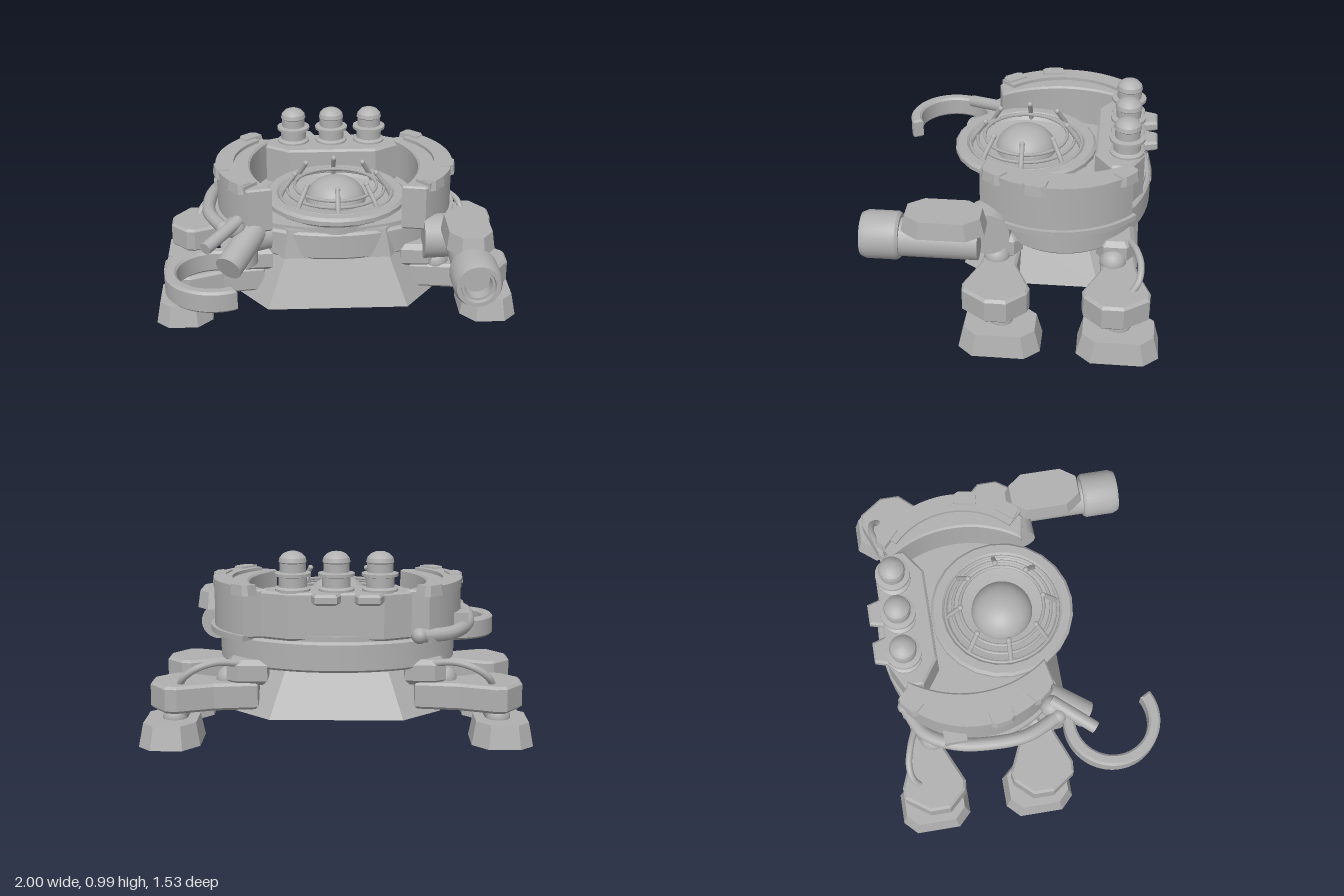
import * as THREE from 'three';
import { toCreasedNormals } from 'three/addons/utils/BufferGeometryUtils.js';

const grey = new THREE.MeshStandardMaterial({ color: 0xb0b0b0 });
grey.name = 'plain grey';
const V = (x, y, z) => new THREE.Vector3(x, y, z);

export function createModel() {
  const model = new THREE.Group();
  model.name = 'walkerPlatform';

  const add = (name, geo, pos, parent = model) => {
    const m = new THREE.Mesh(geo, grey);
    m.name = name;
    if (pos) m.position.copy(pos);
    parent.add(m);
    return m;
  };
  const outline = pts => new THREE.Shape(pts.map(p => new THREE.Vector2(p[0], p[1])));

  // Slab from an outline in x/z, standing from y0 to y1; the top may shrink about a centre
  function slab(shape, y0, y1, { bevel = 0, top = 1, cx = 0, cz = 0, crease = 0.5 } = {}) {
    const g = new THREE.ExtrudeGeometry(shape, {
      depth: y1 - y0 - 2 * bevel, bevelEnabled: bevel > 0, bevelSize: bevel,
      bevelThickness: bevel, bevelOffset: -bevel, bevelSegments: 1, curveSegments: 28,
    });
    g.rotateX(Math.PI / 2).translate(0, y1 - bevel, 0);
    const p = g.attributes.position;
    for (let i = 0; i < p.count; i++) {
      const k = 1 + (top - 1) * (p.getY(i) - y0) / (y1 - y0);
      p.setX(i, cx + (p.getX(i) - cx) * k);
      p.setZ(i, cz + (p.getZ(i) - cz) * k);
    }
    return toCreasedNormals(g, crease);
  }
  // Turned part with sharp edges between steps
  const turned = (pts, sides = 32) => toCreasedNormals(
    new THREE.LatheGeometry(pts.map(p => new THREE.Vector2(p[0], p[1])), sides), 0.5);
  // Cylinder between two points
  function rod(name, a, b, r, r2 = r, parent = model) {
    const g = new THREE.CylinderGeometry(r2, r, a.distanceTo(b), 20);
    const m = add(name, g, a.clone().lerp(b, 0.5), parent);
    m.quaternion.setFromUnitVectors(V(0, 1, 0), b.clone().sub(a).normalize());
  }
  const hose = (name, pts, r, parent = model) => {
    add(name, new THREE.TubeGeometry(new THREE.CatmullRomCurve3(pts), 32, r, 10), null, parent);
    for (const p of [pts[0], pts[pts.length - 1]]) add(name + 'End', new THREE.SphereGeometry(r * 1.15, 12, 8), p, parent);
  };

  // Tapered eight-sided base with a narrower neck at the front
  add('base', slab(outline([[-0.38, 0.295], [0.38, 0.295], [0.54, 0.07], [0.54, -0.44], [0.34, -0.64],
    [-0.34, -0.64], [-0.54, -0.44], [-0.54, 0.07]]), 0.13, 0.4, { top: 0.74, cz: -0.1, crease: 0.1 }));
  add('neck', slab(outline([[-0.29, 0.2], [0.29, 0.2], [0.4, 0.03], [0.4, -0.3], [-0.4, -0.3], [-0.4, 0.03]]),
    0.39, 0.55, { top: 0.9, crease: 0.1 }));

  // Oval body
  const oval = (rx, rz) => new THREE.Shape().absellipse(0, -0.235, rx, rz, 0, Math.PI * 2);
  add('bodyRing', slab(oval(0.62, 0.455), 0.385, 0.54, { bevel: 0.012 }));
  add('bodyDeck', slab(oval(0.59, 0.43), 0.53, 0.565));

  // Curved side walls with rims and clamps
  for (const s of [1, -1]) {
    const wall = new THREE.Group();
    wall.name = s > 0 ? 'leftWall' : 'rightWall';
    model.add(wall);
    const arc = (cx, r, a0, a1, n = 28) => Array.from({ length: n + 1 }, (_, i) => {
      const a = a0 + (a1 - a0) * i / n;
      return [s * (cx + r * Math.cos(a)), -0.2 + r * Math.sin(a)];
    });
    add('wall', slab(outline([...arc(0.14, 0.515, -0.88, 0.86), ...arc(-0.13, 0.6, 0.65, -0.65)]),
      0.54, 0.79, { bevel: 0.01 }), null, wall);
    add('wallRim', slab(outline([...arc(0.14, 0.52, -0.84, 0.82), ...arc(0.14, 0.42, 0.82, -0.84)]),
      0.76, 0.808), null, wall);
    add('wallSkirt', slab(outline([...arc(0.14, 0.535, -0.9, 0.8), ...arc(0.14, 0.46, 0.8, -0.9)]),
      0.53, 0.56), null, wall);
    for (const a of [-0.82, 0.19, 0.68]) {
      const c = add('clamp', slab(outline([[-0.045, -0.07], [0.02, -0.07], [0.04, -0.045],
        [0.04, 0.045], [0.02, 0.07], [-0.045, 0.07]]), 0, 0.055, { top: 0.85, crease: 0.1 }),
        V(s * (0.14 + 0.495 * Math.cos(a)), 0.762, -0.2 + 0.495 * Math.sin(a)), wall);
      c.rotation.y = s > 0 ? -a : Math.PI + a;
    }
  }

  // Rear housing and its back blocks
  add('rearHousing', slab(outline([[-0.38, -0.48], [-0.25, -0.39], [0.25, -0.39], [0.38, -0.48],
    [0.38, -0.58], [0.24, -0.65], [-0.24, -0.65], [-0.38, -0.58]]), 0.54, 0.785, { bevel: 0.012, crease: 0.1 }));
  for (const x of [-0.165, 0.05]) {
    add('rearBlock', slab(outline([[x - 0.09, -0.6], [x - 0.055, -0.715], [x + 0.055, -0.715], [x + 0.09, -0.6]]),
      0.73, 0.785, { bevel: 0.012, crease: 0.1 }));
  }

  // Three domed lamps
  for (const x of [-0.22, 0, 0.22]) {
    add('lamp', turned([[0, 0.78], [0.09, 0.78], [0.09, 0.795], [0.072, 0.805], [0.072, 0.855], [0.093, 0.86],
      [0.093, 0.875], [0.066, 0.88], [0.066, 0.925], [0.071, 0.93], [0.066, 0.952], [0.048, 0.972],
      [0.025, 0.982], [0, 0.985]], 24), V(x, 0, -0.555));
  }

  // Dish with a dome and an open cage
  const dish = new THREE.Group();
  dish.name = 'dish';
  dish.position.set(0, 0, -0.005);
  model.add(dish);
  add('dishStem', new THREE.CylinderGeometry(0.22, 0.22, 0.16, 32), V(0, 0.56, 0), dish);
  add('dishBowl', turned([[0, 0.615], [0.3, 0.615], [0.37, 0.652], [0.385, 0.662], [0.385, 0.685],
    [0.37, 0.7], [0.325, 0.7], [0.29, 0.665], [0.2, 0.645], [0, 0.645]], 24), null, dish);
  add('dome', new THREE.SphereGeometry(0.165, 32, 12, 0, Math.PI * 2, 0, Math.PI / 2)
    .scale(1, 0.8, 1), V(0, 0.65, 0), dish);
  for (const [r, y] of [[0.305, 0.69], [0.265, 0.715], [0.225, 0.735]]) {
    add('cageRing', new THREE.TorusGeometry(r, 0.009, 6, 40).rotateX(Math.PI / 2), V(0, y, 0), dish);
  }
  for (let i = 0; i < 8; i++) {
    const a = i * Math.PI / 4, at = (r, y) => V(r * Math.cos(a), y, r * Math.sin(a));
    hose('cageBar', [at(0.305, 0.665), at(0.285, 0.71), at(0.25, 0.76), at(0.222, 0.8)], 0.013, dish);
  }

  // Four legs
  for (const s of [1, -1]) for (const front of [true, false]) {
    const leg = new THREE.Group();
    leg.name = (front ? 'front' : 'rear') + (s > 0 ? 'Left' : 'Right') + 'Leg';
    leg.position.z = front ? (s > 0 ? 0.045 : 0.055) : s > 0 ? -0.555 : -0.53;
    model.add(leg);
    const poly = (pts, k = 1, dz = 0) => outline(pts.map(([x, z]) => [s * x, (front ? z : -z) * k + dz]));
    add('foot', slab(poly([[0.69, -0.11], [0.77, -0.205], [0.93, -0.205], [1, -0.13], [1, 0.13],
      [0.93, 0.205], [0.77, 0.205], [0.69, 0.11]], s > 0 ? 1.02 : 0.92), 0, 0.12,
      { top: 0.86, cx: s * 0.845, crease: 0.1 }), null, leg);
    rod('ankle', V(s * 0.84, 0.11, 0), V(s * 0.76, 0.22, 0.02), 0.06, 0.045, leg);
    add('ankleBall', new THREE.SphereGeometry(0.065, 20, 12), V(s * 0.83, 0.125, 0), leg);
    add('thigh', slab(poly([[0.4, -0.07], [0.62, -0.06], [0.81, -0.145], [0.86, -0.135], [0.95, -0.04],
      [0.95, 0.07], [0.86, 0.195], [0.8, 0.2], [0.62, 0.13], [0.4, 0.1]], 1, front ? 0 : 0.045), 0.175, 0.315,
      { bevel: 0.014, crease: 0.1 }), null, leg);
    add('hip', slab(poly([[0.35, -0.08], [0.5, -0.09], [0.56, -0.05], [0.56, 0.07], [0.5, 0.11], [0.35, 0.1]],
      1, front ? 0.01 : 0.045), 0.3, 0.43, { bevel: 0.025, crease: 0.1 }), null, leg);
    add('hipJoint', new THREE.SphereGeometry(0.07, 20, 12), V(s * 0.55, 0.315, front ? 0.05 : 0.045), leg);
    // Arched hose over each rear leg
    if (!front) hose('legHose', [V(s * 0.48, 0.41, -0.03), V(s * 0.6, 0.425, -0.075), V(s * 0.7, 0.4, -0.1),
      V(s * 0.77, 0.35, -0.09), V(s * 0.8, 0.29, -0.05)], 0.018, leg);
  }

  // Barrel arm on the left side
  const gun = new THREE.Group();
  gun.name = 'barrelArm';
  model.add(gun);
  rod('barrelJoint', V(0.47, 0.485, 0.14), V(0.62, 0.485, 0.14), 0.125, 0.12, gun);
  add('barrelBody', new THREE.CylinderGeometry(0.1, 0.1, 0.43, 24).rotateX(Math.PI / 2), V(0.68, 0.488, 0.385), gun);
  add('barrelArmour', slab(outline([[0.62, 0.135], [0.74, 0.135], [0.805, 0.22], [0.805, 0.47], [0.74, 0.56],
    [0.62, 0.56], [0.555, 0.47], [0.555, 0.22]]), 0.56, 0.655, { top: 0.9, cx: 0.68, cz: 0.35, crease: 0.1 }), null, gun);
  add('muzzle', turned([[0, 0.57], [0.115, 0.57], [0.125, 0.585], [0.125, 0.74], [0.112, 0.77], [0.09, 0.77],
    [0.085, 0.75], [0.072, 0.75], [0.068, 0.69], [0, 0.69]]).rotateX(Math.PI / 2), V(0.68, 0.495, 0), gun);

  // Hooked arm on the right side
  const arm = new THREE.Group();
  arm.name = 'hookArm';
  model.add(arm);
  const hook = new THREE.Shape();
  hook.absarc(-0.645, 0.49, 0.262, Math.PI * 0.35, Math.PI * 1.6, false);
  hook.absarc(-0.645, 0.49, 0.2, Math.PI * 1.6, Math.PI * 0.35, true);
  add('hook', slab(hook, 0.368, 0.485, { bevel: 0.012 }), null, arm);
  add('hookMount', new THREE.CylinderGeometry(0.1, 0.1, 0.1, 24), V(-0.53, 0.425, 0.19), arm);
  rod('shoulder', V(-0.38, 0.49, 0.08), V(-0.54, 0.49, 0.14), 0.09, 0.09, arm);
  rod('forearm', V(-0.45, 0.53, 0.13), V(-0.585, 0.42, 0.36), 0.075, 0.075, arm);
  rod('upperRod', V(-0.53, 0.61, 0.17), V(-0.7, 0.55, 0.385), 0.034, 0.034, arm);
  add('elbow', new THREE.SphereGeometry(0.06, 20, 12), V(-0.55, 0.57, 0.17), arm);

  // Long pipe round the right side feeding the hooked arm
  hose('sidePipe', [V(-0.42, 0.56, -0.6), V(-0.58, 0.56, -0.52), V(-0.67, 0.57, -0.36), V(-0.7, 0.58, -0.16),
    V(-0.69, 0.585, 0.02), V(-0.61, 0.58, 0.2)], 0.036, arm);
  add('pipeBracket', new THREE.BoxGeometry(0.1, 0.09, 0.12), V(-0.63, 0.6, -0.36), arm);

  return model;
}
